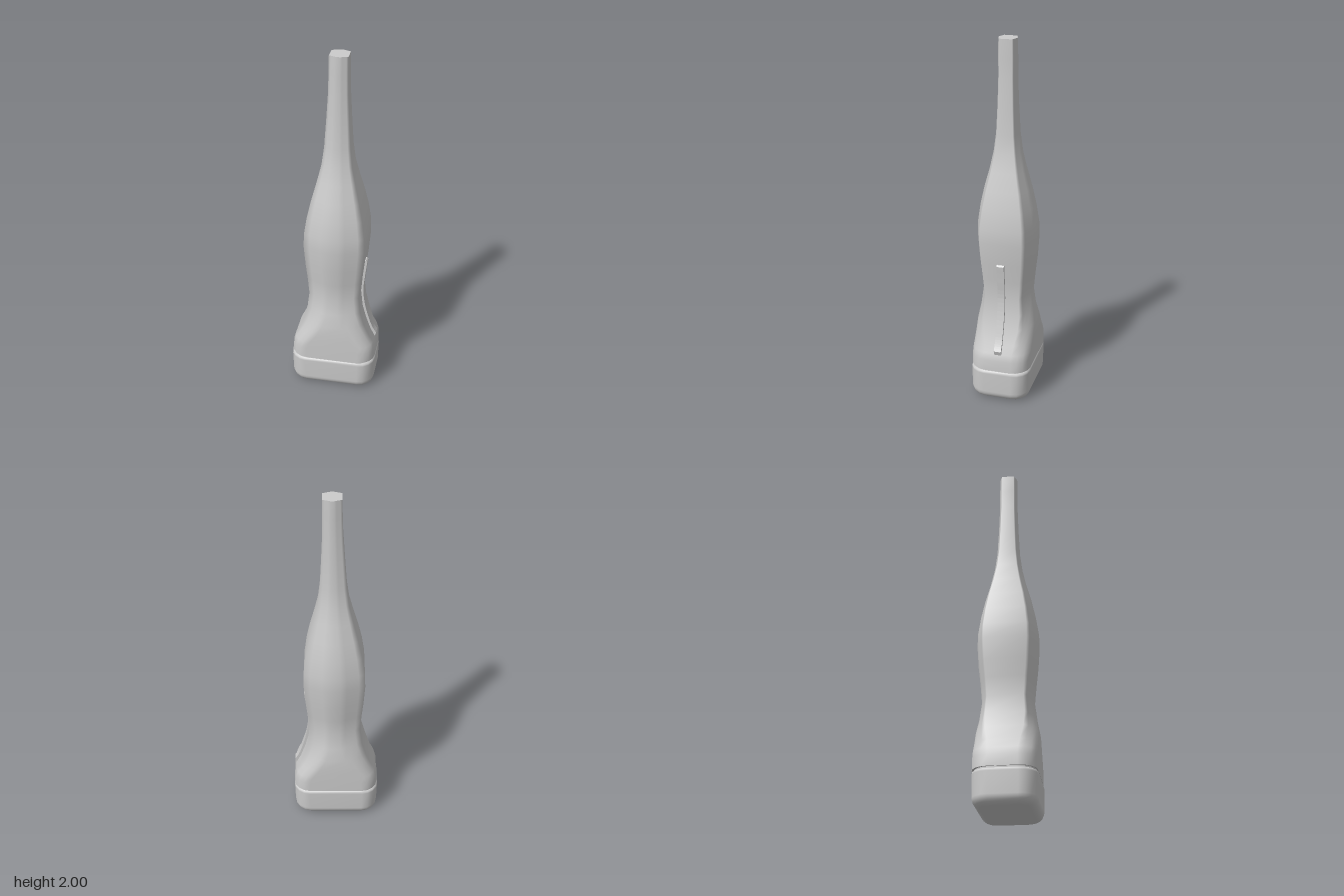
import * as THREE from 'three';

const CORNER_STEPS = 4;
const SIGNS = [[1, 1], [-1, 1], [-1, -1], [1, -1]];

// Cross-section: blend 0 = faceted grip outline, blend 1 = rounded rectangle.
function section({ y, hx, hz, cx = 0, cz = 0, blend = 1, r = 0.09 }) {
  const pts = [];
  SIGNS.forEach(([sx, sz], q) => {
    for (let i = 0; i <= CORNER_STEPS; i++) {
      const t = (q % 2 ? CORNER_STEPS - i : i) / CORNER_STEPS;
      const a = t * Math.PI / 2;
      const fx = hx * (1 - 0.8 * t), fz = hz * (0.7 + 0.3 * t);
      const rx = hx - r + r * Math.cos(a), rz = hz - r + r * Math.sin(a);
      pts.push([
        cx + sx * THREE.MathUtils.lerp(fx, rx, blend), y,
        cz + sz * THREE.MathUtils.lerp(fz, rz, blend),
      ]);
    }
  });
  return pts;
}

// Skin a stack of cross-sections and close both ends with flat caps.
function loft(rings) {
  const pos = [], idx = [];
  const sections = rings.map(section);
  const n = sections[0].length;
  sections.forEach(s => s.forEach(p => pos.push(...p)));
  for (let j = 0; j < sections.length - 1; j++) {
    for (let i = 0; i < n; i++) {
      const a = j * n + i, b = j * n + (i + 1) % n;
      idx.push(a, a + n, b, b, a + n, b + n);
    }
  }
  [[0, false], [sections.length - 1, true]].forEach(([k, top]) => {
    const start = pos.length / 3;
    sections[k].forEach(p => pos.push(...p));
    pos.push(rings[k].cx || 0, rings[k].y, rings[k].cz || 0);
    for (let i = 0; i < n; i++) {
      const a = start + i, b = start + (i + 1) % n;
      idx.push(start + n, top ? b : a, top ? a : b);
    }
  });
  const geo = new THREE.BufferGeometry();
  geo.setAttribute('position', new THREE.Float32BufferAttribute(pos, 3));
  geo.setIndex(idx);
  geo.computeVertexNormals();
  return geo;
}

export function createModel() {
  const group = new THREE.Group();
  const material = new THREE.MeshStandardMaterial({ color: 0xcccccc });
  const add = (name, geometry) => {
    const mesh = new THREE.Mesh(geometry, material);
    mesh.name = name;
    group.add(mesh);
    return mesh;
  };

  // Grip: [height, half width, half depth], from the flared foot to the neck
  const profile = [
    [0.19, 0.238, 0.165], [0.25, 0.236, 0.165], [0.29, 0.225, 0.165],
    [0.34, 0.2, 0.165], [0.42, 0.172, 0.164], [0.5, 0.151, 0.15],
    [0.6, 0.14, 0.137], [0.7, 0.147, 0.146], [0.8, 0.157, 0.157],
    [0.92, 0.166, 0.165], [1.0, 0.164, 0.163], [1.1, 0.15, 0.148],
    [1.2, 0.129, 0.126], [1.3, 0.104, 0.098], [1.4, 0.081, 0.076],
    [1.5, 0.069, 0.063], [1.65, 0.06, 0.055], [1.8, 0.052, 0.05],
    [1.9, 0.05, 0.05], [2.0, 0.049, 0.049],
  ];
  add('grip', loft(profile.map(([y, hx, hz]) => ({
    y, hx, hz, cx: 0.009 * y, cz: -0.002,
    blend: 1 - THREE.MathUtils.smoothstep(y, 0.25, 0.55),
  }))));

  // Seam recessed between the grip and the head
  add('seam', loft([
    { y: 0.17, hx: 0.23, hz: 0.157 },
    { y: 0.2, hx: 0.23, hz: 0.157 },
  ]));

  // Head with a rounded lower edge and a small upper bevel
  const head = [];
  const R = 0.05;
  for (let i = 0; i <= 6; i++) {
    const a = i / 6 * Math.PI / 2, inset = R * (1 - Math.sin(a));
    head.push({ y: R * (1 - Math.cos(a)), hx: 0.238 - inset, hz: 0.165 - inset, r: 0.09 - inset });
  }
  head.push(
    { y: 0.165, hx: 0.241, hz: 0.167 },
    { y: 0.176, hx: 0.24, hz: 0.166 },
    { y: 0.181, hx: 0.234, hz: 0.16 },
  );
  add('head', loft(head));

  // Orientation ridge following the grip's left side
  const outer = new THREE.SplineCurve([
    [0.177, 0.795], [0.166, 0.7], [0.158, 0.6], [0.17, 0.5],
    [0.196, 0.4], [0.217, 0.345], [0.237, 0.31],
  ].map(p => new THREE.Vector2(...p))).getPoints(24);
  const inner = [[0.225, 0.275], [0.16, 0.33], [0.12, 0.5], [0.11, 0.6], [0.13, 0.8], [0.17, 0.803]];
  const ridgeShape = new THREE.Shape([...outer, ...inner.map(p => new THREE.Vector2(...p))]);
  const ridge = new THREE.ExtrudeGeometry(ridgeShape, { depth: 0.04, bevelEnabled: false });
  add('orientationRidge', ridge).position.z = -0.022;

  return group;
}
